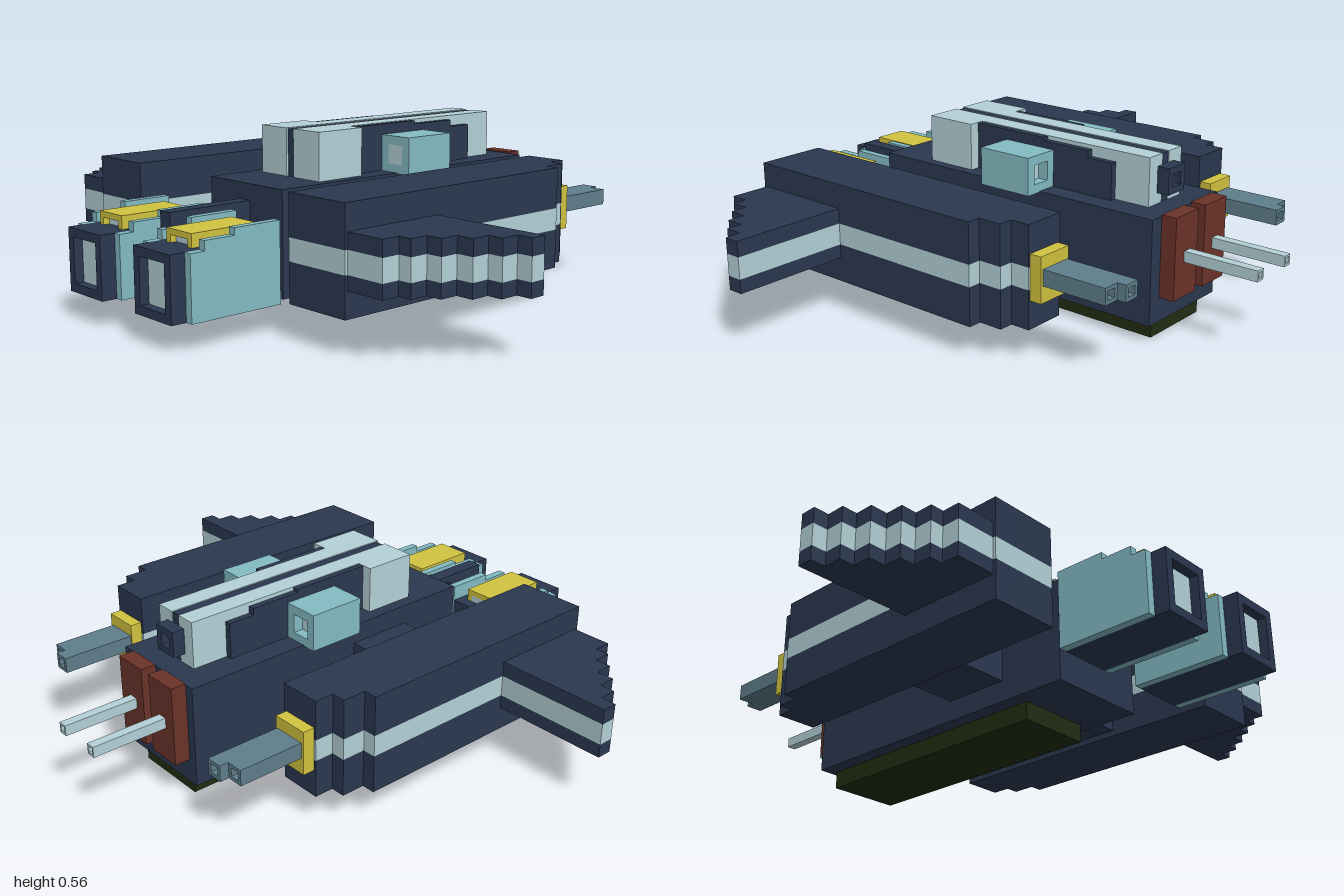
import * as THREE from 'three';

const mat = (color) => new THREE.MeshStandardMaterial({ color, flatShading: true });
const navy = mat(0x2b3850), pale = mat(0xb4d2d8), teal = mat(0x84bcc4), steel = mat(0x5f7f8c);
const yellow = mat(0xd2c440), brown = mat(0x6b3329), green = mat(0x222d12);

// Box given by its limits on each axis
function box(parent, name, material, [x0, x1], [y0, y1], [z0, z1]) {
  const mesh = new THREE.Mesh(new THREE.BoxGeometry(x1 - x0, y1 - y0, z1 - z0), material);
  mesh.position.set((x0 + x1) / 2, (y0 + y1) / 2, (z0 + z1) / 2);
  mesh.name = name;
  parent.add(mesh);
  return mesh;
}

// Square tube along z with a recessed plug; end is +1 (open to the front) or -1 (open to the back)
function tube(parent, name, material, plugMaterial, [x0, x1], [y0, y1], [z0, z1], wall, end, depth) {
  const group = new THREE.Group();
  group.name = name;
  const shape = new THREE.Shape([[x0, y0], [x1, y0], [x1, y1], [x0, y1]].map((p) => new THREE.Vector2(...p)));
  const a = x0 + wall, b = x1 - wall, c = y0 + wall, d = y1 - wall;
  shape.holes.push(new THREE.Path([[a, c], [a, d], [b, d], [b, c]].map((p) => new THREE.Vector2(...p))));
  const shell = new THREE.Mesh(
    new THREE.ExtrudeGeometry(shape, { depth: z1 - z0, bevelEnabled: false }), material);
  shell.position.z = z0;
  shell.name = name + 'Shell';
  group.add(shell);
  box(group, name + 'Core', plugMaterial, [a, b], [c, d], end > 0 ? [z0, z1 - depth] : [z0 + depth, z1]);
  parent.add(group);
}

// Dark, pale, dark layers forming a striped slab
function striped(parent, name, x, [y0, y1], z) {
  box(parent, name + 'Lower', navy, x, [y0, 0.235], z);
  box(parent, name + 'Stripe', pale, x, [0.235, 0.305], z);
  box(parent, name + 'Upper', navy, x, [0.305, y1], z);
}

// Side pod, stepped wing, strut and rear cannon for one side
function buildSide(s) {
  const side = new THREE.Group();
  side.name = s > 0 ? 'leftSide' : 'rightSide';
  const span = (a, b) => (s > 0 ? [a, b] : [-b, -a]);

  box(side, 'strut', navy, span(0.18, 0.375), [0.13, 0.335], [0.005, 0.235]);
  for (const [a, b, back] of [[0.375, 0.517, -0.45], [0.517, 0.565, -0.385], [0.565, 0.61, -0.305]])
    striped(side, 'nacelle', span(a, b), [0.11, 0.435], [back, 0.61]);

  const steps = [0.61, 0.745, 0.79, 0.843, 0.9, 0.95, 1];
  for (let i = 0; i < 6; i++)
    striped(side, 'wing', span(steps[i], steps[i + 1]), [0.19, 0.355], [0.248, 0.6 - i * 0.06]);

  box(side, 'cannonCollar', yellow, span(0.385, 0.51), [0.2, 0.345], [-0.49, -0.45]);
  tube(side, 'innerBarrel', steel, steel, span(0.39, 0.445), [0.253, 0.305], [-0.74, -0.49], 0.012, -1, 0.08);
  tube(side, 'outerBarrel', steel, steel, span(0.445, 0.5), [0.253, 0.305], [-0.71, -0.49], 0.012, -1, 0.08);
  return side;
}

// Nose pod centred on cx
function buildNosePod(cx, name) {
  const pod = new THREE.Group();
  pod.name = name;
  tube(pod, 'podBody', navy, pale, [-0.09, 0.09], [0.085, 0.285], [0.575, 0.937], 0.028, 1, 0.03);
  box(pod, 'podBack', navy, [-0.09, 0.09], [0.085, 0.285], [0.57, 0.576]);
  tube(pod, 'podCanopy', yellow, pale, [-0.061, 0.061], [0.262, 0.327], [0.61, 0.843], 0.019, 1, 0.02);
  for (const s of [-1, 1])
    for (const [z0, z1, top] of [[0.57, 0.735, 0.337], [0.735, 0.838, 0.315], [0.838, 0.887, 0.285]])
      box(pod, 'podSidePlate', teal, s > 0 ? [0.09, 0.116] : [-0.116, -0.09], [0.085, top], [z0, z1]);
  pod.position.x = cx;
  return pod;
}

export function createModel() {
  const model = new THREE.Group();
  model.name = 'spaceship';

  // Main hull and belly
  box(model, 'hull', navy, [-0.18, 0.178], [0.06, 0.4], [-0.64, 0.47]);
  box(model, 'belly', green, [-0.13, 0.13], [0, 0.06], [-0.615, 0.29]);
  model.add(buildSide(1), buildSide(-1));

  // Nose
  model.add(buildNosePod(0.172, 'leftNosePod'), buildNosePod(-0.184, 'rightNosePod'));
  box(model, 'noseBeam', navy, [-0.03, 0.02], [0.267, 0.347], [0.47, 0.768]);
  box(model, 'noseCrossbar', navy, [-0.07, 0.058], [0.285, 0.325], [0.595, 0.605]);

  // Dorsal spine: dark core between pale rails, stepped cheeks alongside
  box(model, 'spineCore', navy, [-0.015, 0.02], [0.4, 0.553], [-0.56, 0.285]);
  tube(model, 'spineExhaust', navy, pale, [-0.04, 0.045], [0.435, 0.52], [-0.605, -0.56], 0.022, -1, 0.025);
  for (const s of [-1, 1]) {
    const span = (a, b) => (s > 0 ? [0.003 + a, 0.003 + b] : [0.003 - b, 0.003 - a]);
    box(model, 'spineRail', pale, span(0.017, 0.085), [0.4, 0.556], [-0.563, 0.11]);
    box(model, 'spineHead', pale, span(0.017, 0.141), [0.4, 0.556], [0.11, 0.292]);
    for (const [z0, z1, top] of [[-0.17, 0.11, 0.554], [-0.347, -0.17, 0.543], [-0.438, -0.347, 0.52]])
      box(model, 'spineCheek', navy, span(0.085, 0.106), [0.4, top], [z0, z1]);
    tube(model, 'sideThruster', teal, pale, span(0.106, 0.23), [0.397, 0.52], [-0.21, -0.015], 0.03, -1, 0.035);
  }

  // Tail plates and guns
  for (const x of [-0.088, 0.07])
    box(model, 'tailPlate', brown, [x - 0.06, x + 0.06], [0.14, 0.405], [-0.692, -0.64]);
  for (const x of [-0.091, 0.065])
    tube(model, 'tailGun', pale, pale, [x - 0.016, x + 0.016], [0.253, 0.288], [-0.943, -0.692], 0.007, -1, 0.06);

  return model;
}
